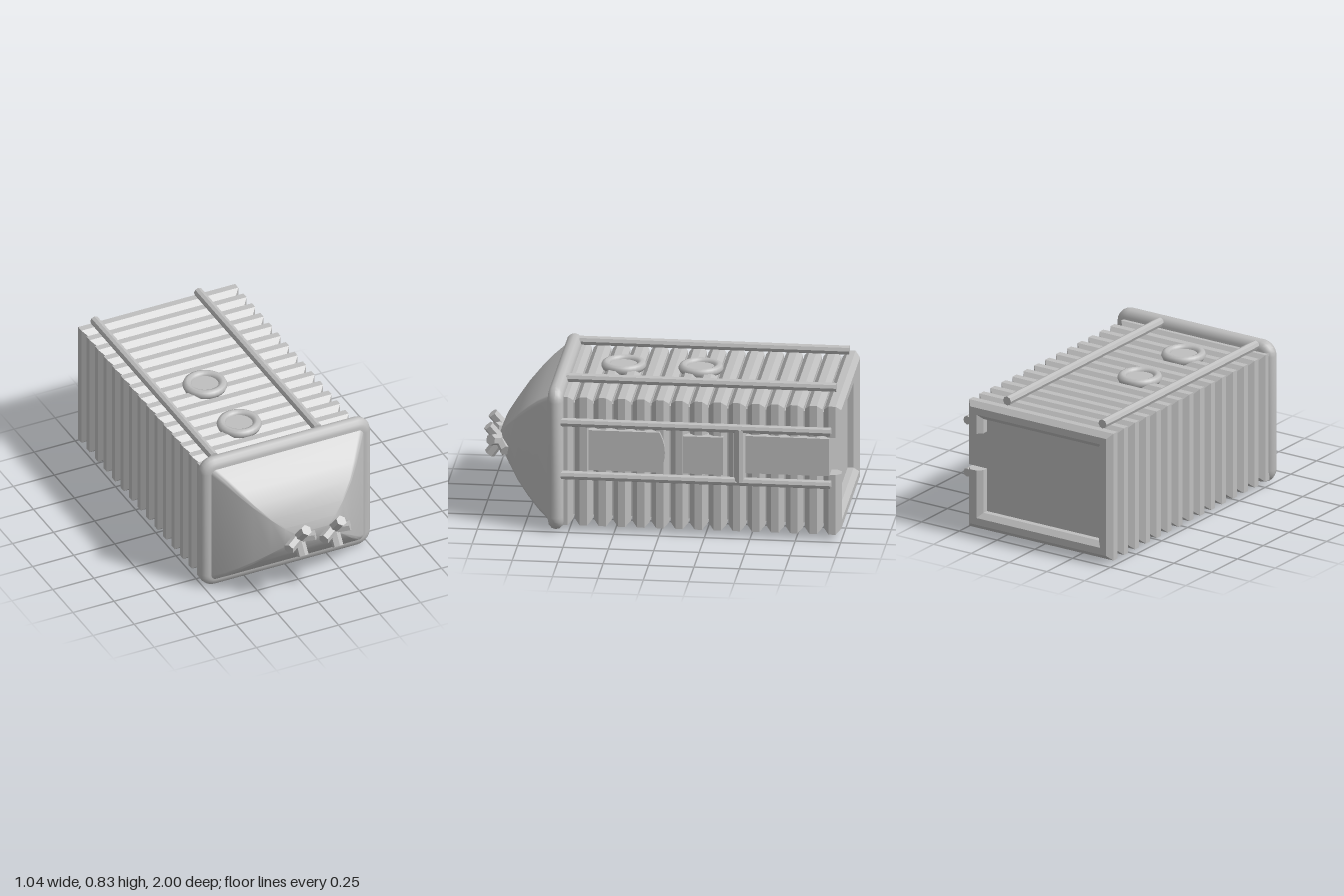
import * as THREE from 'three';
import { toCreasedNormals } from 'three/addons/utils/BufferGeometryUtils.js';

const metal = new THREE.MeshStandardMaterial({ color: 0xbfbfbf });
metal.name = 'hull grey';

// Skin a list of point rings; either loop back to the first ring or cap both ends
function skin(rings, loop) {
  const pos = [];
  const tri = (...pts) => pts.forEach(p => pos.push(...p));
  const n = rings[0].length, m = rings.length;
  for (let i = 0; i < (loop ? m : m - 1); i++) {
    const A = rings[i], B = rings[(i + 1) % m];
    for (let j = 0; j < n; j++) {
      const k = (j + 1) % n;
      tri(A[j], A[k], B[k]);
      tri(A[j], B[k], B[j]);
    }
  }
  if (!loop) {
    for (let j = 1; j < n - 1; j++) {
      tri(rings[0][0], rings[0][j + 1], rings[0][j]);
      tri(rings[m - 1][0], rings[m - 1][j], rings[m - 1][j + 1]);
    }
  }
  const g = new THREE.BufferGeometry();
  g.setAttribute('position', new THREE.Float32BufferAttribute(pos, 3));
  return toCreasedNormals(g, 0.6);
}

// Rounded rectangle ring with half sizes w, h and corner radius r
function roundedRing(w, h, r, z) {
  const pts = [];
  [[1, 1], [-1, 1], [-1, -1], [1, -1]].forEach(([sx, sy], q) => {
    for (let i = 0; i <= 5; i++) {
      const a = (q + i / 5) * Math.PI / 2;
      pts.push([sx * (w - r) + r * Math.cos(a), sy * (h - r) + r * Math.sin(a), z]);
    }
  });
  return pts;
}

// Octagonal frame around the body, optionally open on its left side
const W = 0.43, H = 0.322, R = 0.052;
function ribGeometry(open) {
  const path = [[W, -H, 1, -1], [-W, -H, -1, -1], [-W, H, -1, 1], [W, H, 1, 1]];
  if (open) {
    path.unshift([W, -0.025, 1, 0]);
    path.push([W, 0.19, 1, 0]);
  }
  const rings = path.map(([x, y, ox, oy]) => {
    const ring = [];
    for (let i = 0; i < 8; i++) {
      const a = (i + 0.5) * Math.PI / 4, c = R * Math.cos(a);
      ring.push([x + ox * c, y + oy * c, R * Math.sin(a)]);
    }
    return ring;
  });
  return skin(rings, !open);
}

export function createModel() {
  const model = new THREE.Group();
  model.name = 'cargoModule';
  const add = (name, geo, x = 0, y = 0, z = 0, parent = model) => {
    const mesh = new THREE.Mesh(geo, metal);
    mesh.name = name;
    mesh.position.set(x, y, z);
    parent.add(mesh);
    return mesh;
  };
  // Straight rod with a few sides between two points
  const rod = (name, from, to, r, sides, parent = model) => {
    const a = new THREE.Vector3(...from), b = new THREE.Vector3(...to);
    const d = b.clone().sub(a);
    const geo = toCreasedNormals(new THREE.CylinderGeometry(r, r, d.length(), sides), 0.6);
    const mesh = add(name, geo, 0, 0, 0, parent);
    mesh.position.copy(a).add(b).multiplyScalar(0.5);
    mesh.quaternion.setFromUnitVectors(new THREE.Vector3(0, 1, 0), d.normalize());
  };

  // Corrugated body: inner box and a row of frames
  add('bodyCore', new THREE.BoxGeometry(2 * W, 2 * H, 1.48), -0.02, 0.4, -0.195);
  const rib = ribGeometry(false);
  for (let k = -8; k <= 5; k++) add('rib', rib, -0.02, 0.4, k * 0.1055);
  add('rearRib', ribGeometry(true), -0.02, 0.4, -0.948);

  // Rounded collar
  const collar = [];
  for (let i = 0; i <= 6; i++) {
    const a = -Math.PI / 2 + i * Math.PI / 6, c = 0.043 * Math.cos(a);
    collar.push(roundedRing(0.475 + c, 0.371 + c, 0.04 + c, 0.573 + 0.043 * Math.sin(a)));
  }
  add('collar', skin(collar, false), 0, 0.414, 0);

  // Nose tapering to a short horizontal edge: [z, half width, half height]
  const nose = [[0.6, 0.475, 0.371], [0.68, 0.412, 0.312], [0.74, 0.36, 0.256],
    [0.8, 0.3, 0.192], [0.86, 0.22, 0.115], [0.9, 0.155, 0.06], [0.92, 0.1, 0.02]];
  add('nose', skin(nose.map(([z, w, h]) => roundedRing(w, h, h * 0.08, z)), false), 0, 0.41, 0);

  // Rails on the roof and left side, with one upright
  for (const x of [-0.41, 0.222]) rod('roofRail', [x, 0.802, -0.945], [x, 0.802, 0.54], 0.026, 8);
  for (const y of [0.633, 0.328]) rod('sideRail', [0.486, y, -0.945], [0.486, y, 0.54], 0.025, 8);
  rod('sideRailUpright', [0.486, 0.328, -0.442], [0.486, 0.633, -0.442], 0.03, 8);

  // Side panels: [front z, back z, bottom, top, bulge of the rear edge]
  const panels = [[0.39, 0, 0.36, 0.59, 0.06], [-0.13, -0.35, 0.36, 0.575, 0], [-0.475, -0.935, 0.375, 0.59, 0]];
  for (const [z0, z1, y0, y1, bulge] of panels) {
    const s = new THREE.Shape();
    s.moveTo(-z0, y0);
    s.lineTo(-z1, y0);
    if (bulge) s.quadraticCurveTo(-z1 + bulge, (y0 + y1) / 2, -z1, y1);
    else s.lineTo(-z1, y1);
    s.lineTo(-z0, y1);
    s.closePath();
    const geo = new THREE.ExtrudeGeometry(s, { depth: 0.1, bevelEnabled: false, curveSegments: 10 });
    add('sidePanel', geo.rotateY(Math.PI / 2), 0.38);
  }

  // Roof hatches
  const ring = new THREE.TorusGeometry(0.098, 0.026, 8, 28).rotateX(Math.PI / 2);
  const lid = new THREE.CylinderGeometry(0.085, 0.085, 0.04, 28);
  for (const z of [-0.16, 0.265]) {
    add('hatchRing', ring, -0.122, 0.769, z);
    add('hatchLid', lid, -0.122, 0.755, z);
  }

  // Two clusters of hexagonal thrusters on the nose
  const arms = [[0.018, 0.083, 0.065], [0.08, 0.022, 0.045], [-0.085, -0.018, 0.055],
    [0, -0.083, 0.06], [0.085, -0.035, -0.04], [0.02, -0.07, -0.04]];
  for (const x of [-0.08, 0.132]) {
    const cluster = new THREE.Group();
    cluster.name = 'thrusterCluster';
    cluster.position.set(x, 0.398, 0.915);
    for (const tip of arms) rod('thruster', [0, 0, 0], tip, 0.031, 6, cluster);
    model.add(cluster);
  }
  return model;
}
